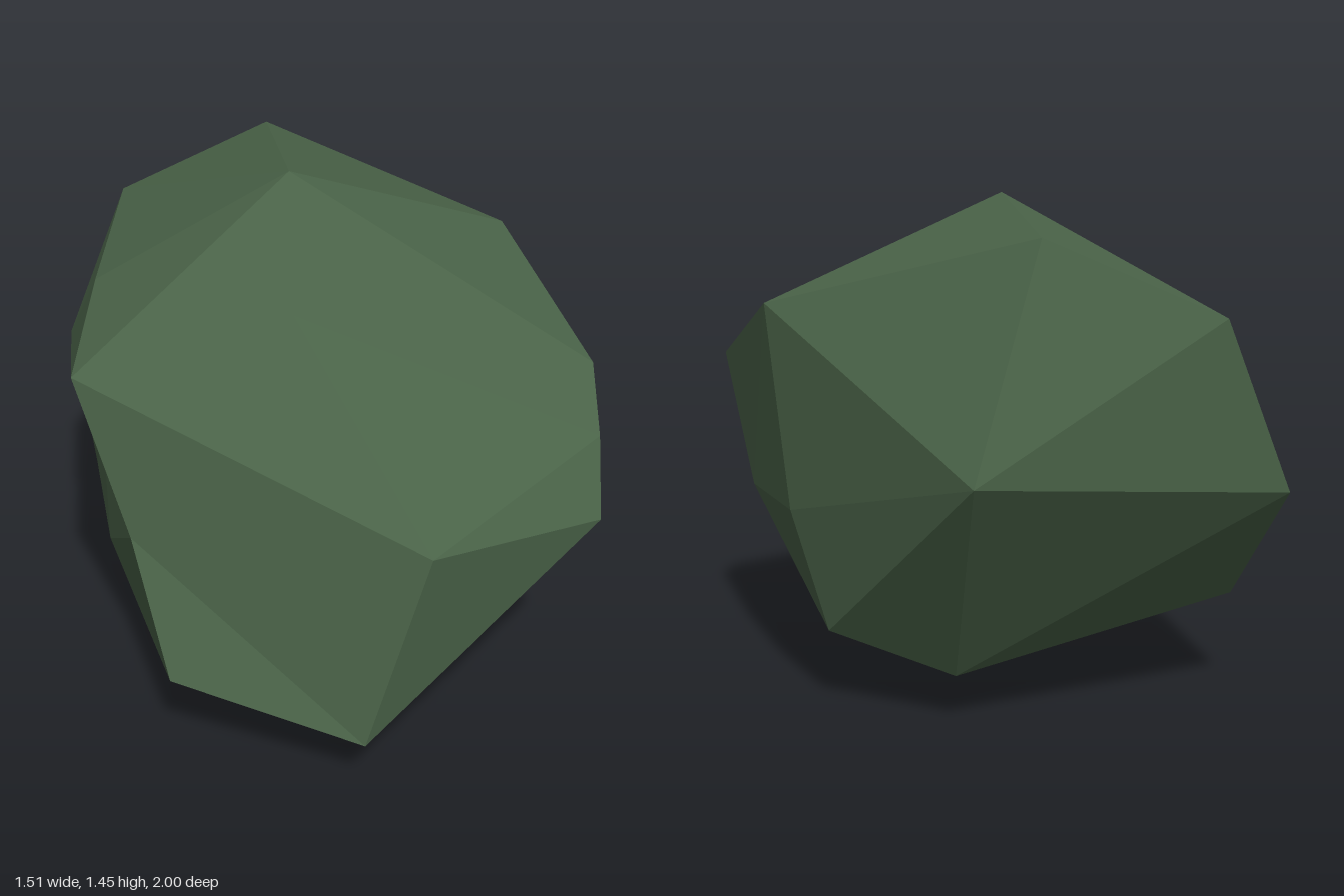
import * as THREE from 'three';
import { ConvexGeometry } from 'three/addons/geometries/ConvexGeometry.js';

const v = (x, y, z) => new THREE.Vector3(x, y, z);

export function createModel() {
  const mossGreen = new THREE.MeshStandardMaterial({ color: 0x4a6348 });
  mossGreen.name = 'mossGreen';
  mossGreen.flatShading = true;

  // Corners of the boulder, from the crown down to the base
  const corners = [
    v(-0.09, 1.45, 0), v(-0.06, 1.35, -0.81), v(-0.14, 1.2, 0.45), // crown
    v(-0.55, 1.14, -0.81), v(-0.66, 1.13, -0.05), v(0.63, 1.15, -0.29),
    v(-0.74, 1.04, 0.41), v(0.75, 0.94, 0.33), v(0.71, 0.82, 0.55), // shoulders
    v(0.14, 0.74, 0.98), v(0.14, 0.75, -1), v(0.68, 0.64, 0.7),
    v(-0.76, 0.66, -0.73), v(0.67, 0.56, 0.08), v(0.57, 0.57, -0.35), // waist
    v(-0.67, 0.31, 0.07), v(-0.7, 0.3, -0.43), v(-0.53, 0.27, 0.76),
    v(0.47, 0.23, -0.41), v(-0.03, 0.18, 1), v(0.13, 0.14, -0.59), // base
    v(-0.13, 0.105, -0.12), v(0.38, 0.03, 0.26), v(0.31, 0, 0.46),
  ];

  // Dents: wrapped at a raised position, then pushed in to their true place
  const dents = [
    { raised: v(-0.79, 0.61, -0.05), sunk: v(-0.67, 0.61, -0.05) },
    { raised: v(-0.69, 0.62, 0.66), sunk: v(-0.61, 0.62, 0.57) },
  ];

  const geometry = new ConvexGeometry([...corners, ...dents.map((d) => d.raised)]);
  const position = geometry.attributes.position;
  const p = new THREE.Vector3();
  for (let i = 0; i < position.count; i++) {
    p.fromBufferAttribute(position, i);
    for (const { raised, sunk } of dents) {
      if (p.distanceTo(raised) < 0.001) position.setXYZ(i, sunk.x, sunk.y, sunk.z);
    }
  }
  geometry.computeVertexNormals();

  const boulder = new THREE.Mesh(geometry, mossGreen);
  boulder.name = 'boulder';

  const model = new THREE.Group();
  model.name = 'rock';
  model.add(boulder);
  return model;
}
